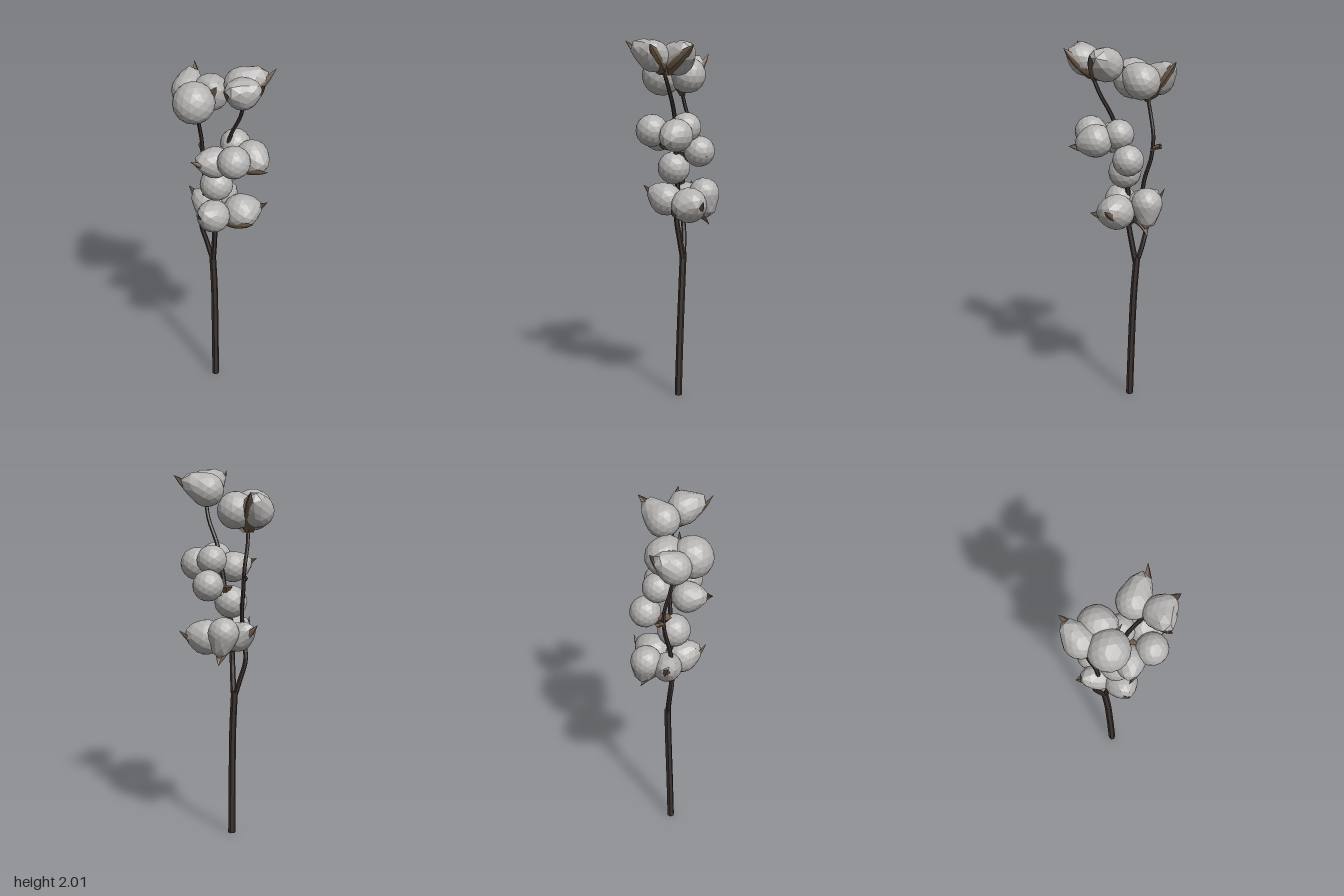
import * as THREE from 'three';

const V = (a) => new THREE.Vector3(...a);
const mat = (name, color, side = THREE.FrontSide) => {
  const m = new THREE.MeshStandardMaterial({ color, side, flatShading: true });
  m.name = name;
  return m;
};

// Each cluster: the stem end it grows from, and its puffs (centre, radius, sepal tips)
const clusters = [
  { name: 'upperLeftBoll', base: [0.08, 1.82, 0.12], puffs: [
    { c: [0.085, 1.9, 0.045], r: 0.092, tips: [[0.265, 1.98, 0.06]] },
    { c: [0.06, 1.915, 0.18], r: 0.085, tips: [[-0.06, 1.995, 0.28], [0.155, 1.985, 0.26]] },
  ] },
  { name: 'upperRightBoll', base: [-0.11, 1.69, -0.11], puffs: [
    { c: [-0.153, 1.795, -0.01], r: 0.112, tips: [] },
    { c: [-0.155, 1.8, -0.155], r: 0.088, tips: [[-0.095, 1.91, -0.28]] },
    { c: [-0.045, 1.8, -0.105], r: 0.1, tips: [[-0.04, 1.89, 0.025]] },
  ] },
  { name: 'middleBoll', base: [0.05, 1.43, 0.07], puffs: [
    { c: [0.02, 1.52, 0.165], r: 0.088, tips: [] },
    { c: [0.135, 1.5, 0.085], r: 0.09, tips: [[0.19, 1.47, 0.22]] },
    { c: [-0.06, 1.48, 0.07], r: 0.085, tips: [[-0.2, 1.52, 0.11]] },
    { c: [0.07, 1.53, -0.02], r: 0.082, tips: [] },
  ] },
  { name: 'innerBoll', base: [0, 1.36, -0.05], puffs: [
    { c: [0.1, 1.4, -0.085], r: 0.085, tips: [[0.185, 1.38, -0.08]] },
    { c: [-0.035, 1.3, -0.01], r: 0.09, tips: [] },
  ] },
  { name: 'lowerBoll', base: [0, 1.03, -0.06], puffs: [
    { c: [-0.06, 1.125, 0.025], r: 0.09, tips: [[-0.16, 1.2, 0.11]] },
    { c: [0.1, 1.11, -0.02], r: 0.097, tips: [[0.25, 1.15, -0.01], [0.14, 1.1, 0.12]] },
    { c: [0.03, 1.155, -0.165], r: 0.085, tips: [[0.06, 0.98, -0.18]] },
    { c: [-0.06, 1.12, -0.1], r: 0.08, tips: [[-0.15, 1.2, -0.2]] },
  ] },
];

// Low-poly ball whose surface is drawn out toward its sepal tips
function puffGeometry({ c, r, tips }) {
  const g = new THREE.IcosahedronGeometry(1, 2);
  const p = g.attributes.position;
  const pulls = tips.map((t) => {
    const d = V(t).sub(V(c));
    return { reach: d.length() * 0.78, dir: d.normalize() };
  });
  const v = new THREE.Vector3();
  for (let i = 0; i < p.count; i++) {
    v.fromBufferAttribute(p, i).normalize();
    let len = r;
    for (const { reach, dir } of pulls) {
      const k = Math.pow(Math.max(0, v.dot(dir)), 6);
      len += Math.max(0, reach - r) * k;
    }
    v.multiplyScalar(len);
    p.setXYZ(i, v.x, v.y, v.z);
  }
  g.computeVertexNormals();
  return g;
}

// Pointed leaf that hugs the outside of a puff from the calyx to the tip
function sepalGeometry(base, c, r, tip) {
  const d = tip.clone().sub(c).normalize();
  const b = base.clone().sub(c).normalize();
  const out = d.clone().add(b).normalize();
  const side = d.clone().cross(b).normalize();
  const path = new THREE.QuadraticBezierCurve3(base, c.clone().addScaledVector(out, r * 1.4), tip);
  const rows = 8, cols = 4, pos = [], idx = [];
  for (let i = 0; i <= rows; i++) {
    const u = i / rows;
    const w = 0.085 * Math.pow(1 - u, 0.8) * Math.pow(u + 0.06, 0.45);
    const q = path.getPoint(u);
    for (let j = 0; j <= cols; j++) {
      const s = (j / cols) * 2 - 1;
      const e = q.clone().addScaledVector(side, w * s).addScaledVector(out, -w * 0.8 * s * s);
      pos.push(e.x, e.y, e.z);
      if (i < rows && j < cols) {
        const a = i * (cols + 1) + j, n = a + cols + 1;
        idx.push(a, n, a + 1, a + 1, n, n + 1);
      }
    }
  }
  const g = new THREE.BufferGeometry();
  g.setAttribute('position', new THREE.Float32BufferAttribute(pos, 3));
  g.setIndex(idx);
  g.computeVertexNormals();
  return g;
}

// Six-sided tube that narrows from r0 to r1
function taperedTube(points, r0, r1) {
  const curve = new THREE.CatmullRomCurve3(points.map(V));
  const segs = points.length * 4, sides = 6;
  const g = new THREE.TubeGeometry(curve, segs, 1, sides);
  const p = g.attributes.position;
  const v = new THREE.Vector3();
  for (let i = 0; i < p.count; i++) {
    const u = Math.floor(i / (sides + 1)) / segs;
    const o = curve.getPointAt(u);
    v.fromBufferAttribute(p, i).sub(o).multiplyScalar(r0 + (r1 - r0) * u).add(o);
    p.setXYZ(i, v.x, v.y, v.z);
  }
  g.computeVertexNormals();
  return g;
}

export function createModel() {
  const root = new THREE.Group();
  root.name = 'cottonBranch';
  const cotton = mat('cotton', 0xb5b3b1);
  const husk = mat('husk', 0x6e5a4a, THREE.DoubleSide);
  const bark = mat('bark', 0x3c3331);
  const add = (parent, name, geometry, material) => {
    const m = new THREE.Mesh(geometry, material);
    m.name = name;
    parent.add(m);
    return m;
  };

  // Stem, its cut end and the two branches
  add(root, 'stem', taperedTube([[-0.037, 0, -0.04], [-0.037, 0.3, -0.05], [-0.038, 0.6, -0.063],
    [-0.045, 0.82, -0.078]], 0.02, 0.019), bark);
  const cut = add(root, 'stemEnd', new THREE.CircleGeometry(0.019, 6), bark);
  cut.rotation.x = Math.PI / 2;
  cut.position.set(-0.037, 0.001, -0.04);
  add(root, 'frontBranch', taperedTube([[-0.042, 0.78, -0.074], [-0.04, 0.9, -0.05], [-0.04, 1.0, -0.032],
    [-0.03, 1.2, -0.03], [0, 1.4, 0], [0.03, 1.6, 0.03], [0.07, 1.74, 0.09], [0.08, 1.84, 0.13]], 0.016, 0.01), bark);
  add(root, 'rearBranch', taperedTube([[-0.045, 0.78, -0.074], [-0.07, 0.88, -0.1], [-0.1, 1.0, -0.112],
    [-0.09, 1.12, -0.09], [-0.08, 1.25, -0.105], [-0.08, 1.38, -0.145], [-0.085, 1.5, -0.155],
    [-0.105, 1.62, -0.13], [-0.112, 1.71, -0.11]], 0.014, 0.01), bark);

  // Broken twig on the rear branch
  add(root, 'twigStub', taperedTube([[-0.08, 1.42, -0.148], [-0.08, 1.44, -0.17], [-0.08, 1.45, -0.2]], 0.011, 0.016), husk);

  // Cotton bolls
  for (const { name, base, puffs } of clusters) {
    const boll = new THREE.Group();
    boll.name = name;
    root.add(boll);
    const b = V(base);
    const calyx = add(boll, 'calyx', new THREE.CylinderGeometry(0.04, 0.012, 0.04, 6), husk);
    calyx.position.copy(b).y += 0.01;
    for (const puff of puffs) {
      add(boll, 'puff', puffGeometry(puff), cotton).position.copy(V(puff.c));
      for (const t of puff.tips) add(boll, 'sepal', sepalGeometry(b, V(puff.c), puff.r, V(t)), husk);
    }
  }
  return root;
}
